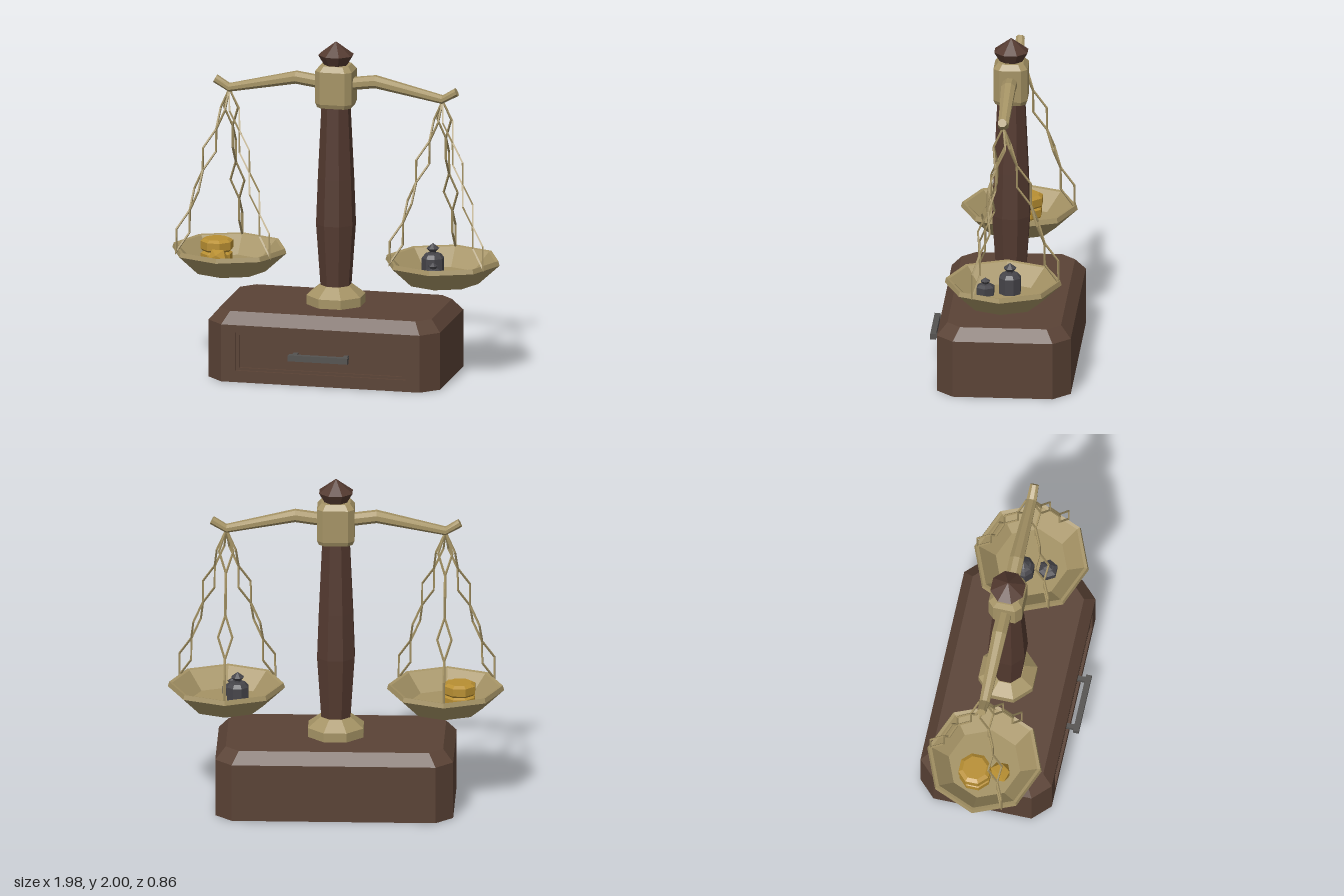
import * as THREE from 'three';

const material = (name, color, side = THREE.FrontSide) => {
  const m = new THREE.MeshStandardMaterial({ color, side });
  m.name = name;
  return m;
};

// Facet every face with its own normal
const facet = (geo) => {
  const g = geo.index ? geo.toNonIndexed() : geo;
  g.computeVertexNormals();
  return g;
};

// Eight-sided turned part; profile holds [radius, y] from bottom to top
const turned = (profile, flats = true, sides = 8) => {
  const k = flats ? 1 / Math.cos(Math.PI / sides) : 1;
  const points = profile.map(([r, y]) => new THREE.Vector2(r * k, y));
  return facet(new THREE.LatheGeometry(points, sides, flats ? Math.PI / sides : 0));
};

// Skin a list of equal-length rings and close both ends
const loft = (rings) => {
  const pos = [];
  const tri = (...c) => c.forEach((p) => pos.push(...p));
  const n = rings[0].length;
  for (let i = 0; i < rings.length - 1; i++) {
    const a = rings[i], b = rings[i + 1];
    for (let k = 0; k < n; k++) {
      const j = (k + 1) % n;
      tri(a[k], a[j], b[k]);
      tri(a[j], b[j], b[k]);
    }
  }
  const first = rings[0], last = rings[rings.length - 1];
  for (let k = 1; k < n - 1; k++) {
    tri(first[0], first[k + 1], first[k]);
    tri(last[0], last[k], last[k + 1]);
  }
  const g = new THREE.BufferGeometry();
  g.setAttribute('position', new THREE.Float32BufferAttribute(pos, 3));
  g.computeVertexNormals();
  return g;
};

// Rectangle ring with cut corners at height y
const cutRect = (hx, hz, c, y) => [
  [-hx + c, y, hz], [hx - c, y, hz], [hx, y, hz - c], [hx, y, -hz + c],
  [hx - c, y, -hz], [-hx + c, y, -hz], [-hx, y, -hz + c], [-hx, y, hz - c],
];

const rectPath = (target, x, y0, y1) => {
  target.moveTo(-x, y0);
  target.lineTo(x, y0);
  target.lineTo(x, y1);
  target.lineTo(-x, y1);
  target.closePath();
  return target;
};

export function createModel() {
  const model = new THREE.Group();
  model.name = 'balanceScale';
  const wood = material('wood', 0x5a4235);
  const darkWood = material('dark wood', 0x543a30);
  const brass = material('brass', 0xa59365);
  const gold = material('gold', 0xb88f32);
  const iron = material('iron', 0x46454a);
  const handleMetal = material('handle metal', 0x545250);

  const AXIS = -0.035; // z of the column, beam and pans
  const add = (name, geo, mat, x = 0, y = 0, z = 0, parent = model) => {
    const mesh = new THREE.Mesh(geo, mat);
    mesh.name = name;
    mesh.position.set(x, y, z);
    parent.add(mesh);
    return mesh;
  };

  // Base box with cut corners and a shallow pocket for the drawer front
  const outline = new THREE.Shape([
    [-0.7, -0.26], [-0.6, -0.36], [-0.6, -0.33], [0.6, -0.33], [0.6, -0.36], [0.7, -0.26],
    [0.7, 0.33], [0.6, 0.43], [-0.6, 0.43], [-0.7, 0.33],
  ].map(([x, y]) => new THREE.Vector2(x, y)));
  const body = new THREE.ExtrudeGeometry(outline, { depth: 0.345, bevelEnabled: false });
  add('baseBody', facet(body.rotateX(-Math.PI / 2)), wood);
  add('baseTop', loft([
    cutRect(0.7, 0.395, 0.1, 0.345), cutRect(0.64, 0.335, 0.08, 0.415),
  ]), wood, 0, 0, AXIS);

  // Stepped frame around the drawer
  [[0.515, 0.07, 0.3, 0.345], [0.492, 0.085, 0.283, 0.33]].forEach(([x, y0, y1, z]) => {
    const frame = rectPath(new THREE.Shape(), 0.6, 0, 0.345);
    frame.holes.push(rectPath(new THREE.Path(), x, y0, y1));
    add('drawerFrame', facet(new THREE.ExtrudeGeometry(frame, { depth: 0.015, bevelEnabled: false })),
      wood, 0, 0, z);
  });

  // Drawer handle
  add('handleBar', new THREE.BoxGeometry(0.36, 0.036, 0.034), handleMetal, 0, 0.18, 0.413);
  for (const s of [-1, 1]) {
    add('handlePost', new THREE.BoxGeometry(0.028, 0.026, 0.07), handleMetal, s * 0.152, 0.18, 0.365);
  }

  // Column, collar, head and finial
  add('collar', turned([[0, 0.41], [0.163, 0.41], [0.163, 0.47], [0.09, 0.53], [0, 0.53]]), brass, 0, 0, AXIS);
  add('column', turned([[0.085, 0.52], [0.11, 0.9], [0.1, 1.18], [0.08, 1.62]]), darkWood, 0, 0, AXIS);
  add('head', loft([
    cutRect(0.1, 0.09, 0.03, 1.61), cutRect(0.11, 0.1, 0.035, 1.635),
    cutRect(0.11, 0.1, 0.035, 1.83), cutRect(0.085, 0.075, 0.028, 1.862),
  ]), brass, 0, 0, AXIS);
  add('finial', turned([[0, 1.86], [0.065, 1.86], [0.098, 1.92], [0, 2]]), darkWood, 0, 0, AXIS);

  // Beam: sections of [x, y, half height, half width, lean]
  const half = [[0.1, 1.75, 0.036, 0.042, 0], [0.24, 1.769, 0.036, 0.042, 0],
    [0.645, 1.684, 0.024, 0.03, 0], [0.73, 1.734, 0.021, 0.025, 0.011]];
  const sections = [...half.map(([x, y, h, w, l]) => [-x, y, h, w, l]).reverse(), ...half];
  add('beam', loft(sections.map(([x, y, h, w, lean]) =>
    Array.from({ length: 8 }, (_, k) => {
      const a = (k + 0.5) * Math.PI / 4, r = 1 / Math.cos(Math.PI / 8);
      const up = Math.cos(a) * r;
      return [x - Math.sign(x) * lean * up, y + up * h, Math.sin(a) * r * w];
    }))), brass, 0, 0, AXIS);

  // Pans with three chains of open links each
  const panGeo = turned([[0, 0.58], [0.217, 0.58], [0.345, 0.697], [0.337, 0.725],
    [0.318, 0.72], [0.215, 0.618], [0, 0.618]], false);
  const linkGeo = facet(new THREE.TorusGeometry(0.042, 0.007, 4, 4).scale(1, 3.1, 1));
  for (const s of [-1, 1]) {
    const pan = new THREE.Group();
    pan.name = s > 0 ? 'leftPan' : 'rightPan';
    pan.position.set(s * 0.645, 0, AXIS);
    model.add(pan);
    add('dish', panGeo, brass, 0, 0, 0, pan);
    for (const angle of [Math.PI / 6, Math.PI * 5 / 6, Math.PI * 1.5]) {
      const top = new THREE.Vector3(0, 1.675, 0);
      const foot = new THREE.Vector3(Math.cos(angle) * 0.325, 0.715, Math.sin(angle) * 0.325);
      const dir = foot.clone().sub(top).normalize();
      const tangent = new THREE.Vector3(-Math.sin(angle), 0, Math.cos(angle));
      const radial = tangent.clone().cross(dir);
      for (let i = 0; i < 4; i++) {
        const link = add('chainLink', linkGeo, brass, 0, 0, 0, pan);
        const across = i % 2 ? radial : tangent;
        link.quaternion.setFromRotationMatrix(
          new THREE.Matrix4().makeBasis(across, dir, across.clone().cross(dir)));
        link.position.lerpVectors(top, foot, (i + 0.5) / 4);
      }
    }
  }

  // Gold coins and nugget
  const coin = (r, y0, y1) => turned([[0, y0], [r - 0.01, y0], [r, y0 + 0.012], [r, y1 - 0.014],
    [r - 0.022, y1], [0, y1]]);
  add('lowerCoin', coin(0.088, 0.615, 0.685), gold, -0.73, 0, -0.07);
  add('upperCoin', coin(0.09, 0.685, 0.757), gold, -0.73, 0, -0.075);
  add('nugget', facet(new THREE.IcosahedronGeometry(0.066, 0)), gold, -0.69, 0.665, 0.07);

  // Iron weights with knobs
  add('largeWeight', turned([[0, 0.615], [0.062, 0.615], [0.062, 0.715], [0.045, 0.738], [0.018, 0.743],
    [0.018, 0.752], [0.036, 0.772], [0, 0.803]]), iron, 0.578, 0, -0.07);
  add('smallWeight', turned([[0, 0.615], [0.05, 0.615], [0.05, 0.665], [0.03, 0.68], [0.014, 0.683],
    [0.026, 0.7], [0, 0.72]], true, 6), iron, 0.613, 0, 0.072);
  return model;
}
